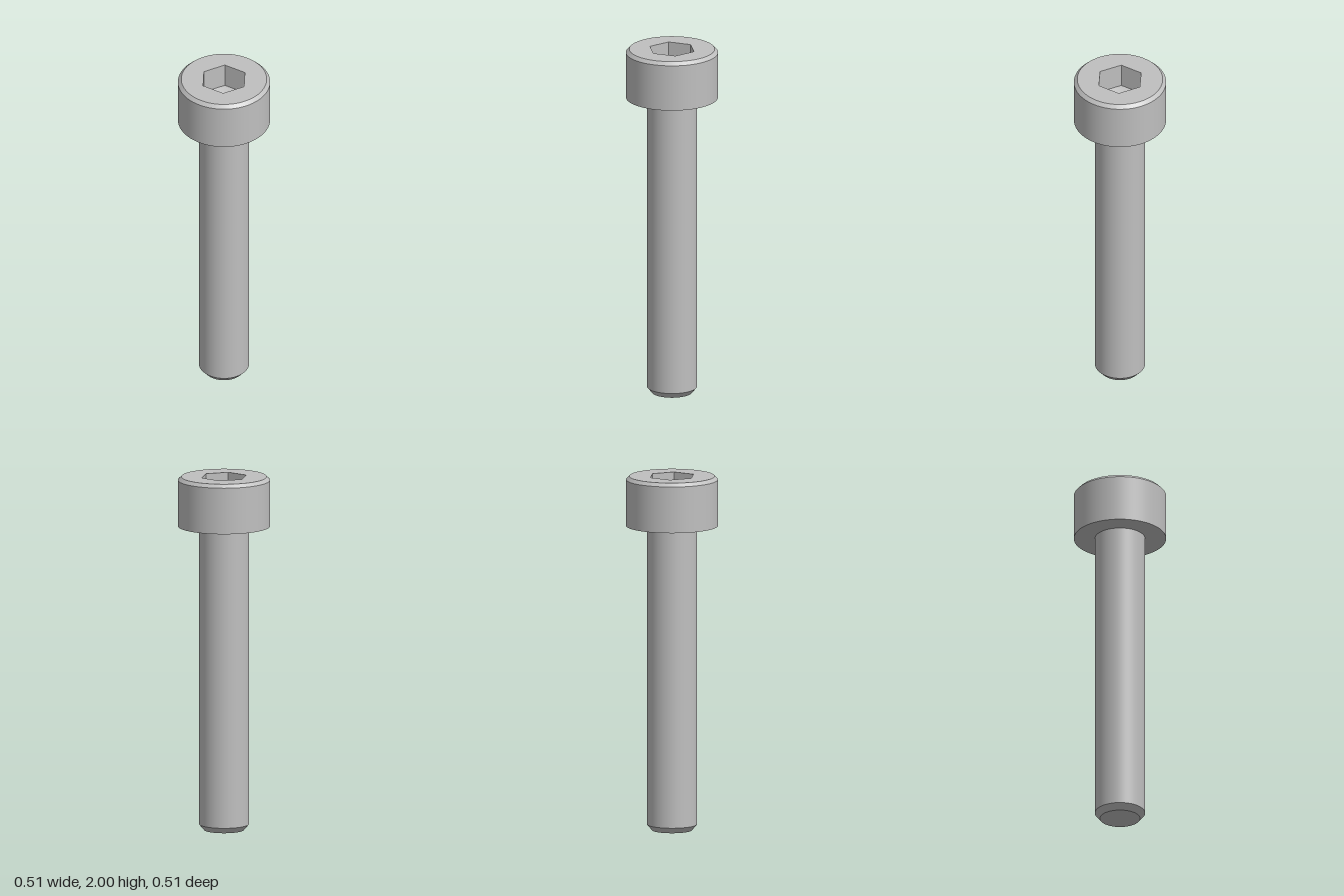
import * as THREE from 'three';
import { mergeGeometries } from 'three/addons/utils/BufferGeometryUtils.js';

const SEGMENTS = 72;
const HEX_R = 0.132;                             // socket corner radius
const DRILL_R = HEX_R * Math.cos(Math.PI / 6);   // circle inside the hexagon
const SOCKET_Y = 1.86;                           // socket floor height

// Turned surface with a sharp edge at every profile point
function turned(profile) {
  const bands = [];
  for (let i = 0; i < profile.length - 1; i++) {
    const pair = [profile[i], profile[i + 1]].map(([r, y]) => new THREE.Vector2(r, y));
    bands.push(new THREE.LatheGeometry(pair, SEGMENTS));
  }
  return mergeGeometries(bands);
}

// Hexagon outline with corners on the z axis
function hexPoints() {
  return Array.from({ length: 6 }, (_, i) => {
    const a = Math.PI / 2 + (i * Math.PI) / 3;
    return new THREE.Vector2(Math.cos(a) * HEX_R, Math.sin(a) * HEX_R);
  });
}

function circlePath(path, r) {
  return path.absarc(0, 0, r, 0, Math.PI * 2, false);
}

// Horizontal face at height y, looking up
function flatFace(shape, y) {
  return new THREE.ShapeGeometry(shape, SEGMENTS / 2).rotateX(-Math.PI / 2).translate(0, y, 0);
}

export function createModel() {
  const model = new THREE.Group();
  model.name = 'socketHeadScrew';
  const steel = new THREE.MeshStandardMaterial({ color: 0xbfbfbf });
  steel.name = 'steel';

  const add = (name, geometry) => {
    const mesh = new THREE.Mesh(geometry, steel);
    mesh.name = name;
    model.add(mesh);
  };

  // Shank with chamfered tip
  add('shank', turned([[0, 0], [0.112, 0], [0.14, 0.033], [0.14, 1.72]]));

  // Head underside, side and top chamfer
  add('head', turned([[0.14, 1.72], [0.257, 1.72], [0.257, 1.981], [0.238, 2]]));

  // Top face around the hexagonal opening
  const top = circlePath(new THREE.Shape(), 0.238);
  top.holes.push(new THREE.Path(hexPoints()));
  add('headTop', flatFace(top, 2));

  // Socket walls, mirrored so they face inwards
  const walls = new THREE.CylinderGeometry(HEX_R, HEX_R, 2 - SOCKET_Y, 6, 1, true).toNonIndexed();
  const p = walls.attributes.position;
  for (let i = 0; i < p.count; i += 3) {
    const a = new THREE.Vector3().fromBufferAttribute(p, i + 1);
    const b = new THREE.Vector3().fromBufferAttribute(p, i + 2);
    p.setXYZ(i + 1, b.x, b.y, b.z);
    p.setXYZ(i + 2, a.x, a.y, a.z);
  }
  walls.computeVertexNormals();
  add('socketWalls', walls.translate(0, (2 + SOCKET_Y) / 2, 0));

  // Corner ledges and conical drill point at the socket floor
  const ledge = new THREE.Shape(hexPoints());
  ledge.holes.push(circlePath(new THREE.Path(), DRILL_R * 0.999));
  add('socketLedge', flatFace(ledge, SOCKET_Y));
  add('socketCone', turned([[DRILL_R, SOCKET_Y], [0, SOCKET_Y - 0.04]]));

  return model;
}
